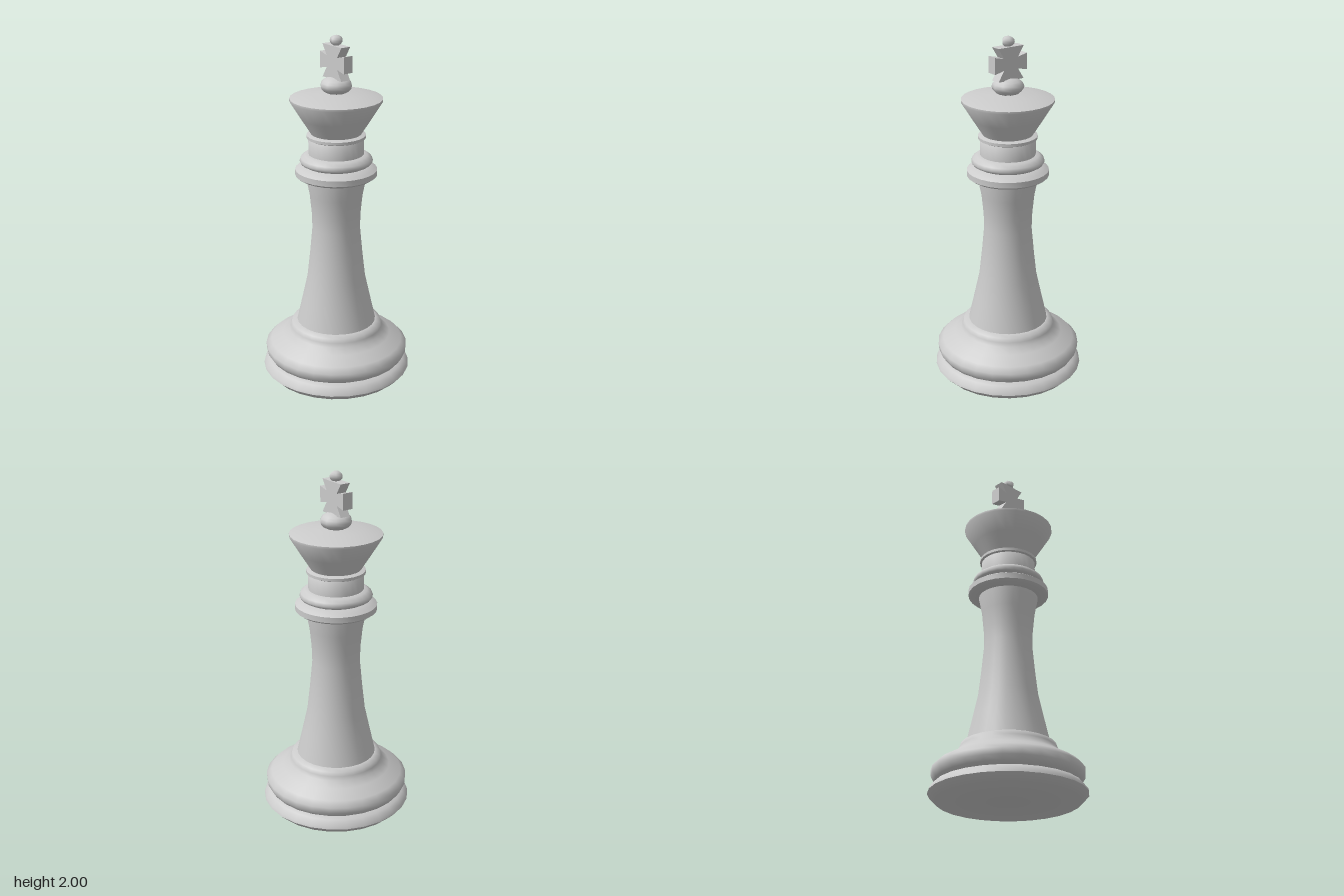
import * as THREE from 'three';
import { toCreasedNormals } from 'three/addons/utils/BufferGeometryUtils.js';

const SIDES = 26;

export function createModel() {
  const group = new THREE.Group();
  const material = new THREE.MeshStandardMaterial({ color: 0xcccccc });

  function add(name, geometry) {
    const mesh = new THREE.Mesh(geometry, material);
    mesh.name = name;
    group.add(mesh);
    return mesh;
  }

  // Turned part: profile of [radius, height] from bottom to top, a corner on +x
  function turned(name, profile, crease = 0.9) {
    const points = profile.map(([r, y]) => new THREE.Vector2(r, y));
    const lathe = new THREE.LatheGeometry(points, SIDES, Math.PI / 2);
    return add(name, toCreasedNormals(lathe, crease));
  }

  // Stepped base
  turned('baseDisc', [[0, 0], [0.39, 0], [0.43, 0.04], [0.425, 0.055], [0.4, 0.085], [0.365, 0.095], [0, 0.095]]);
  turned('baseMoulding', [
    [0, 0.09], [0.365, 0.09], [0.395, 0.108], [0.412, 0.135], [0.415, 0.17], [0.385, 0.2],
    [0.315, 0.238], [0.277, 0.268], [0.268, 0.29], [0.26, 0.313], [0.23, 0.325], [0, 0.325],
  ]);

  // Tapered shaft
  turned('shaft', [
    [0.23, 0.32], [0.197, 0.465], [0.167, 0.6], [0.15, 0.75], [0.136, 0.9],
    [0.139, 0.99], [0.15, 1.1], [0.17, 1.2], [0.17, 1.22],
  ]);

  // Double collar below the head
  turned('lowerCollar', [[0, 1.205], [0.17, 1.2], [0.212, 1.205], [0.23, 1.218], [0.23, 1.25], [0.212, 1.262], [0.18, 1.277], [0, 1.277]]);
  turned('upperCollar', [[0, 1.27], [0.18, 1.277], [0.198, 1.287], [0.205, 1.3], [0.198, 1.318], [0.175, 1.335], [0.15, 1.34], [0, 1.34]]);

  // Neck and its thin ring
  turned('neck', [[0.155, 1.33], [0.155, 1.425], [0.145, 1.435], [0, 1.435]]);
  turned('neckRing', [[0, 1.425], [0.155, 1.427], [0.165, 1.432], [0.165, 1.448], [0.14, 1.456], [0, 1.456]]);

  // Flared crown with a shallow domed top
  turned('crown', [
    [0, 1.45], [0.137, 1.45], [0.197, 1.545], [0.257, 1.642], [0.257, 1.655],
    [0.225, 1.664], [0.15, 1.676], [0.08, 1.684], [0, 1.69],
  ], 0.7);

  // Flattened ball carrying the cross
  const ball = add('crownBall', new THREE.SphereGeometry(0.089, 10, 10));
  ball.scale.y = 0.58;
  ball.position.y = 1.725;

  // Cross with flared arms
  const quarter = [[0.105, 0.046], [0.046, 0.032], [0.083, 0.091]];
  const mirrored = (sx, sy) => quarter.map(([x, y]) => new THREE.Vector2(x * sx, y * sy));
  const outline = [
    ...mirrored(1, 1), ...mirrored(-1, 1).reverse(),
    ...mirrored(-1, -1), ...mirrored(1, -1).reverse(),
  ];
  const crossGeometry = new THREE.ExtrudeGeometry(new THREE.Shape(outline), { depth: 0.06, bevelEnabled: false });
  crossGeometry.translate(0, 1.854, -0.03);
  add('cross', crossGeometry);

  // Small bead on top of the cross
  const bead = add('topBead', new THREE.SphereGeometry(0.037, 5, 8));
  bead.rotation.y = Math.PI;
  bead.scale.y = 0.8;
  bead.position.y = 1.97;

  return group;
}
